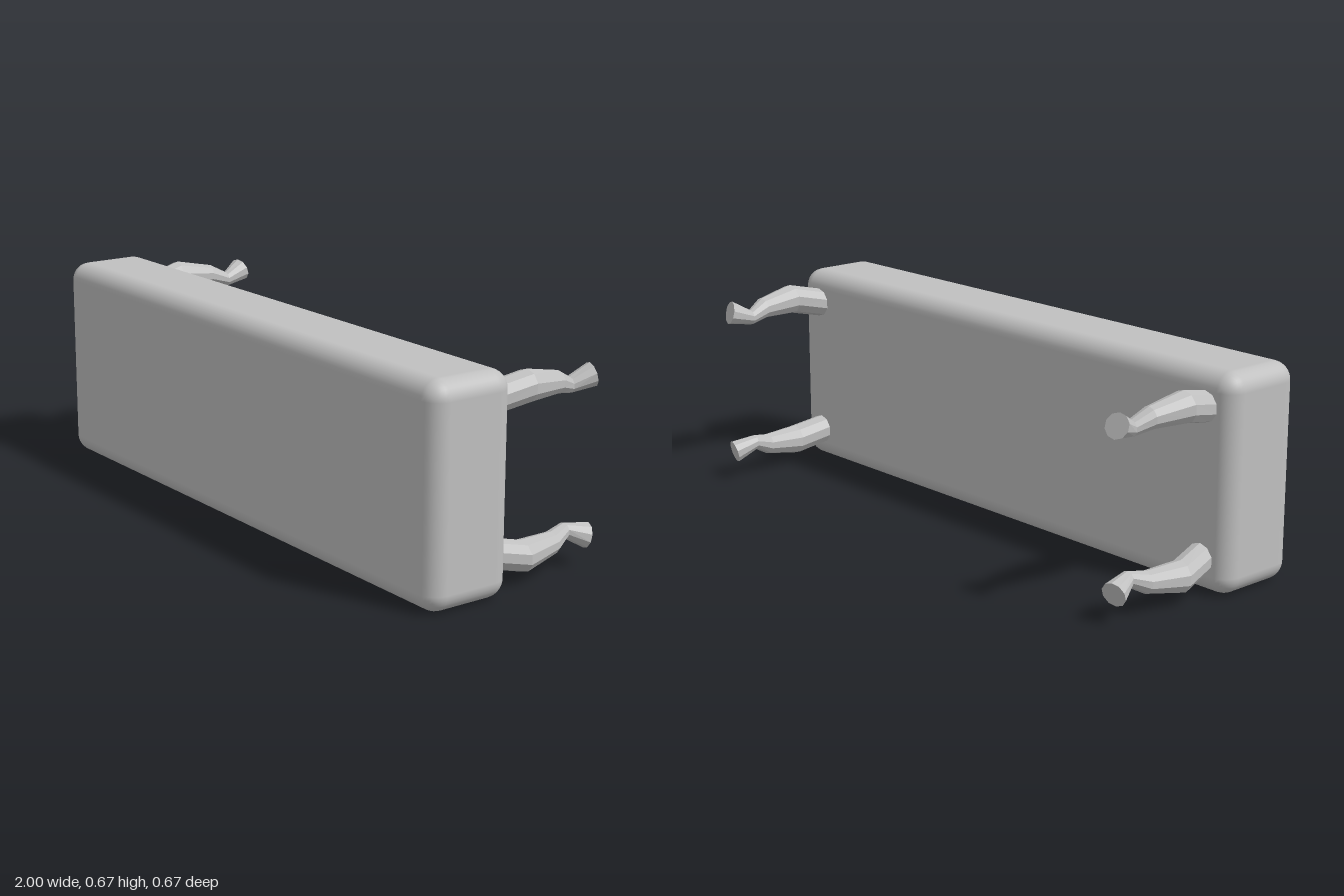
import * as THREE from 'three';
import { RoundedBoxGeometry } from 'three/addons/geometries/RoundedBoxGeometry.js';

const MID_Y = 0.3335;
const SIDES = 10;

// Leg rings: [x, y above mid-height, z, radius, z slope along the outward diagonal]
const RINGS = [
  [0.897, 0.225, 0.065, 0.048, 0],
  [0.899, 0.229, 0.045, 0.048, 0],
  [0.920, 0.252, -0.06, 0.049, -0.08],
  [0.908, 0.241, -0.187, 0.034, -0.15],
  [0.895, 0.220, -0.247, 0.0245, 0],
  [0.912, 0.244, -0.319, 0.037, 0.38],
];

// Faceted curved leg, mirrored into a corner by the signs sx and sy
function legGeometry(sx, sy) {
  const positions = [];
  const point = (i, j) => {
    const [x, y, z, r, slope] = RINGS[i];
    const a = Math.PI / 2 + (j / SIDES) * Math.PI * 2;
    const dx = Math.cos(a) * r, dy = Math.sin(a) * r;
    return [sx * (x + dx), MID_Y + sy * (y + dy), z + slope * (dx + dy) * Math.SQRT1_2];
  };
  const triangle = (a, b, c) =>
    positions.push(...a, ...(sx * sy > 0 ? [...b, ...c] : [...c, ...b]));
  const last = RINGS.length - 1;
  const [ex, ey, ez] = RINGS[last];
  const footCentre = [sx * ex, MID_Y + sy * ey, ez];
  for (let j = 0; j < SIDES; j++) {
    for (let i = 0; i < last; i++) {
      triangle(point(i, j), point(i + 1, j), point(i + 1, j + 1));
      triangle(point(i, j), point(i + 1, j + 1), point(i, j + 1));
    }
    triangle(footCentre, point(last, j + 1), point(last, j));
  }
  const geometry = new THREE.BufferGeometry();
  geometry.setAttribute('position', new THREE.Float32BufferAttribute(positions, 3));
  geometry.computeVertexNormals();
  return geometry;
}

export function createModel() {
  const model = new THREE.Group();
  model.name = 'cushionedBench';
  const grey = new THREE.MeshStandardMaterial({ color: 0xc0c0c0 });
  grey.name = 'light grey';

  // Thick rounded seat, standing on its long edge
  const seat = new THREE.Mesh(new RoundedBoxGeometry(2, 0.667, 0.288, 4, 0.058), grey);
  seat.name = 'seat';
  seat.position.set(0, MID_Y, 0.19);
  model.add(seat);

  // Four curved legs bowing out towards the corners
  for (const sx of [1, -1]) {
    for (const sy of [1, -1]) {
      const leg = new THREE.Mesh(legGeometry(sx, sy), grey);
      leg.name = (sy > 0 ? 'upper' : 'lower') + (sx > 0 ? 'Left' : 'Right') + 'Leg';
      model.add(leg);
    }
  }
  return model;
}
